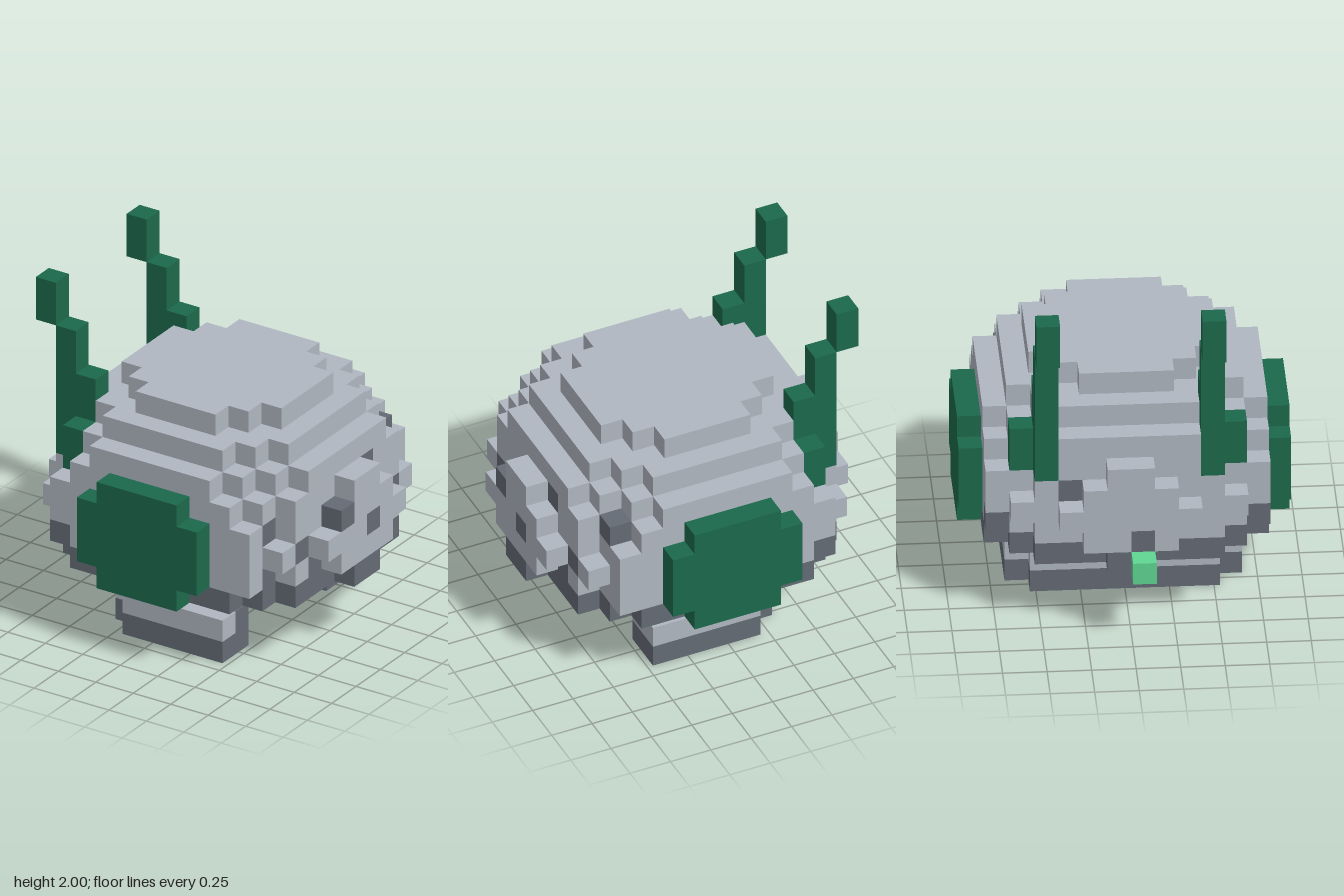
import * as THREE from 'three';

const U = 2 / 15; // edge length of one block

const mat = (name, color) => {
  const m = new THREE.MeshStandardMaterial({ color });
  m.name = name;
  return m;
};

export function createModel() {
  const grey = mat('light grey', 0xafb7c1);
  const dark = mat('dark grey', 0x646b75);
  const green = mat('deep green', 0x1c694c);
  const mint = mat('mint green', 0x60d692);
  const materials = {
    helmetShell: grey, helmetRim: dark, helmetSpots: dark,
    frontEarCover: green, backEarCover: green,
    frontAntenna: green, backAntenna: green,
    indicatorLight: mint, baseTop: grey, baseSole: dark,
  };

  // Block grid: i along x, j along y, k along z; later fills replace earlier ones
  const blocks = new Map();
  const key = (i, j, k) => `${i},${j},${k}`;
  const fill = (part, i0, i1, j0, j1, k0, k1) => {
    for (let i = i0; i <= i1; i++)
      for (let j = j0; j <= j1; j++)
        for (let k = k0; k <= k1; k++) {
          if (part) blocks.set(key(i, j, k), part);
          else blocks.delete(key(i, j, k));
        }
  };
  // A round slice, given as half widths per row counted outward from the middle
  const slice = (part, j, halfWidths) => halfWidths.forEach((w, r) => {
    for (const k of [7 + r, 6 - r]) fill(part, 8 - w, 7 + w, j, j, k, k);
  });

  // Rounded helmet, from the rim upward, widest at the third slice
  [
    [7, 6, 6, 6, 5, 4],
    [7, 7, 6, 6, 5, 5],
    [7, 7, 7, 6, 6, 5],
    [7, 7, 6, 6, 5, 5],
    [7, 6, 6, 6, 5, 4],
    [6, 6, 6, 5, 4, 3],
    [5, 5, 5, 4, 3],
    [4, 4, 3, 2],
  ].forEach((rows, n) => slice(n ? 'helmetShell' : 'helmetRim', n + 3, rows));
  // Stepped hollow in the underside
  [[4, 4, 3, 2], [3, 3, 2], [2, 2]].forEach((rows, n) => slice(null, n + 3, rows));

  // Dark spots on the outermost blocks of each side
  const spot = (j, k, from, step) => {
    let i = from;
    while (!blocks.has(key(i, j, k))) i += step;
    blocks.set(key(i, j, k), 'helmetSpots');
  };
  [[7, 5], [7, 2], [6, 11], [6, 8], [5, 10], [5, 6], [5, 3], [4, 11], [4, 9], [4, 4]]
    .forEach(([j, k]) => spot(j, k, 14, -1));
  [[6, 4], [4, 7], [4, 12], [4, 1]].forEach(([j, k]) => spot(j, k, 0, 1));

  // Ear covers and stepped antennas, mirrored front to back
  for (const front of [true, false]) {
    const z = (k) => (front ? k : 13 - k);
    const ear = front ? 'frontEarCover' : 'backEarCover';
    const antenna = front ? 'frontAntenna' : 'backAntenna';
    fill(ear, 6, 9, 3, 7, z(13), z(13));
    fill(ear, 5, 10, 4, 6, z(13), z(13));
    fill(antenna, 3, 3, 7, 8, z(11), z(11));
    fill(antenna, 3, 3, 7, 10, z(10), z(10));
    fill(antenna, 2, 2, 7, 12, z(10), z(10));
    fill(antenna, 1, 1, 13, 14, z(10), z(10));
  }

  // Small light at the side of the rim
  fill('indicatorLight', 0, 0, 3, 3, 7, 7);

  // C-shaped base, open towards +x, with notched outer corners
  ['baseSole', 'baseTop'].forEach((part, j) => {
    fill(part, 5, 6, j, j, 3, 10);
    for (const k of [3, 10]) fill(part, 5, 10, j, j, k, k);
    for (const k of [2, 11]) fill(part, 6, 10, j, j, k, k);
    for (const k of [4, 9]) fill(part, 5, 7, j, j, k, k);
  });
  fill('baseSole', 10, 10, 1, 1, 10, 10);

  // Collect only the exposed block faces of each part
  const faces = {};
  for (const [id, part] of blocks) {
    const p = id.split(',').map(Number);
    const f = (faces[part] ??= { position: [], normal: [], index: [] });
    for (let a = 0; a < 3; a++)
      for (const s of [1, -1]) {
        const next = [...p];
        next[a] += s;
        if (blocks.has(key(...next))) continue;
        const start = f.position.length / 3;
        for (const [u, v] of [[0, 0], [1, 0], [1, 1], [0, 1]]) {
          const c = [...p], n = [0, 0, 0];
          if (s > 0) c[a] += 1;
          c[(a + 1) % 3] += u;
          c[(a + 2) % 3] += v;
          n[a] = s;
          f.position.push(c[0] * U - 1, c[1] * U, (c[2] - 7) * U);
          f.normal.push(...n);
        }
        const order = s > 0 ? [0, 1, 2, 0, 2, 3] : [0, 2, 1, 0, 3, 2];
        f.index.push(...order.map((o) => start + o));
      }
  }

  const group = new THREE.Group();
  group.name = 'blockHelmet';
  for (const [part, f] of Object.entries(faces)) {
    const geo = new THREE.BufferGeometry();
    geo.setAttribute('position', new THREE.Float32BufferAttribute(f.position, 3));
    geo.setAttribute('normal', new THREE.Float32BufferAttribute(f.normal, 3));
    geo.setIndex(f.index);
    const mesh = new THREE.Mesh(geo, materials[part]);
    mesh.name = part;
    group.add(mesh);
  }
  return group;
}
